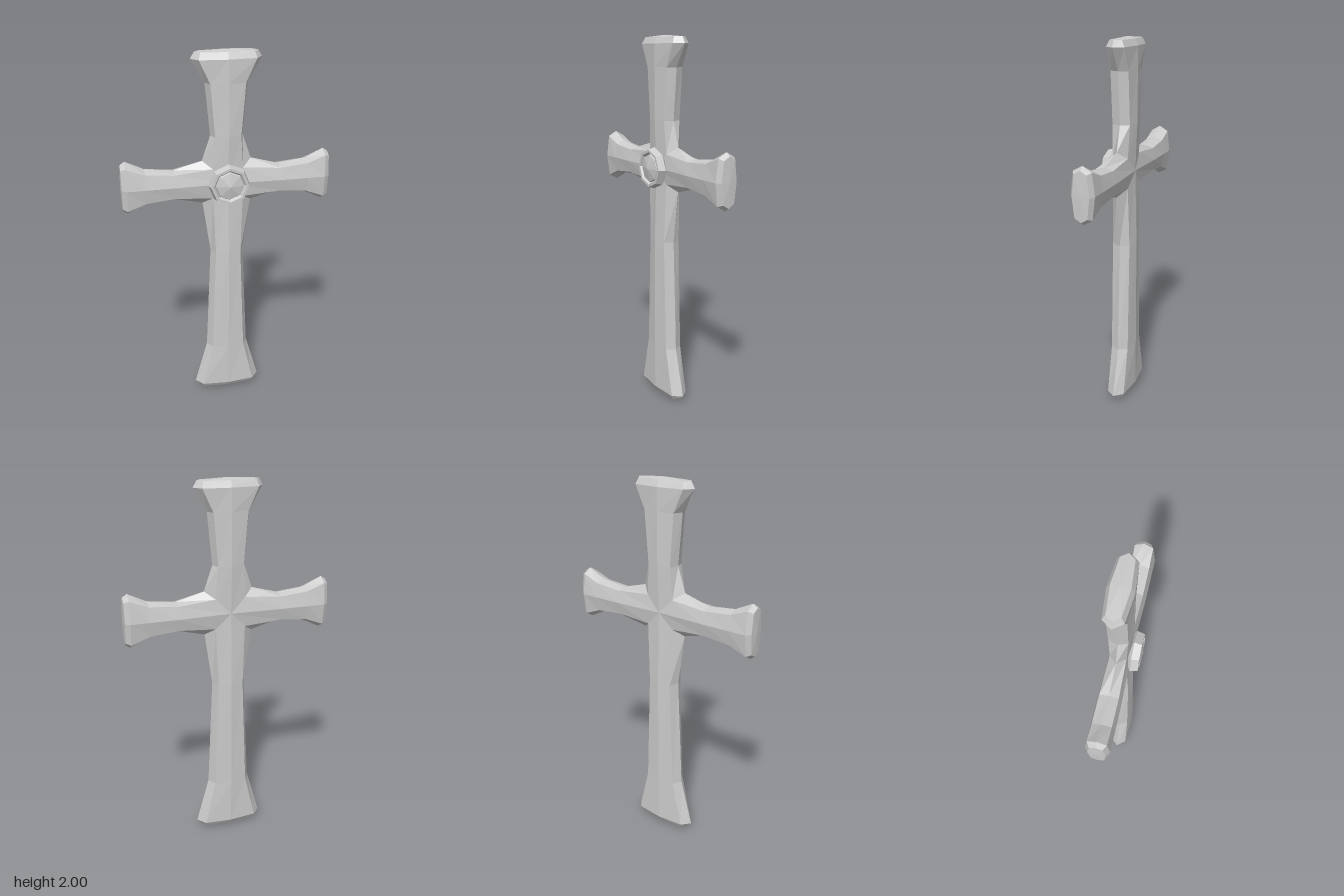
import * as THREE from 'three';

const material = new THREE.MeshStandardMaterial({ color: 0xcccccc, flatShading: true });

// Eight-point faceted section: side points, bevel edges and a raised centre ridge.
// Each row is [side v, side half-width, bevel v, bevel half-width, bevel depth, ridge v, ridge depth].
function section([vs, ws, vb, wb, zb, vr, zr]) {
  return [
    [ws, vs, 0], [wb, vb, -zb], [0, vr, -zr], [-wb, vb, -zb],
    [-ws, vs, 0], [-wb, vb, zb], [0, vr, zr], [wb, vb, zb],
  ];
}

// Section lying at one constant distance along the arm
const level = (v, w, wb, zb = 0.048, zr = 0.062) => [v, w, v, wb, zb, v, zr];

// Lofts the sections of one arm along +y and closes its outer end with a low fan
function armGeometry(rows, tip) {
  const rings = rows.map(section);
  const positions = [...rings.flat().flat(), 0, tip, 0];
  const index = [];
  const last = (rings.length - 1) * 8;
  for (let r = 0; r < rings.length - 1; r++) {
    for (let i = 0; i < 8; i++) {
      const a = r * 8 + i, b = r * 8 + (i + 1) % 8;
      index.push(a, b, b + 8, a, b + 8, a + 8);
    }
  }
  for (let i = 0; i < 8; i++) index.push(last + i, last + (i + 1) % 8, last + 8);
  const geometry = new THREE.BufferGeometry();
  geometry.setAttribute('position', new THREE.Float32BufferAttribute(positions, 3));
  geometry.setIndex(index);
  geometry.computeVertexNormals();
  return geometry;
}

export function createModel() {
  const group = new THREE.Group();
  group.name = 'cross';

  const add = (name, geometry, z, turn = 0) => {
    const mesh = new THREE.Mesh(geometry, material);
    mesh.name = name;
    mesh.position.set(0, 1.32, z);
    mesh.rotation.z = turn;
    group.add(mesh);
  };

  // All four arms share this mitred section, so they meet at the crossing
  const joint = [0.117, 0.13, 0.08, 0.08, 0.042, 0, 0.052];

  const upper = armGeometry([
    joint,
    level(0.25, 0.085, 0.068),
    level(0.52, 0.11, 0.09),
    level(0.637, 0.18, 0.145),
    level(0.67, 0.16, 0.135, 0.033, 0.045),
  ], 0.68);

  const lower = armGeometry([
    joint,
    level(0.4, 0.09, 0.068),
    level(1.015, 0.118, 0.09),
    level(1.275, 0.19, 0.15),
    level(1.303, 0.165, 0.14, 0.033, 0.045),
  ], 1.32);

  const side = armGeometry([
    [0.13, 0.117, 0.08, 0.08, 0.042, 0, 0.052],
    level(0.28, 0.076, 0.064),
    level(0.43, 0.095, 0.078),
    level(0.527, 0.142, 0.115),
    level(0.552, 0.125, 0.105, 0.033, 0.045),
  ], 0.557);

  add('upperArm', upper, -0.027);
  add('lowerArm', lower, -0.027, Math.PI);
  add('leftArm', side, -0.027, -Math.PI / 2);
  add('rightArm', side, -0.027, Math.PI / 2);

  // Eight-sided setting on the crossing, and the low gem inside it
  const lathe = (points) => new THREE.LatheGeometry(
    points.map(([r, h]) => new THREE.Vector2(r, h)), 8).rotateX(Math.PI / 2);

  add('setting', lathe([[0, 0.02], [0.09, 0.02], [0.11, 0.037], [0.1, 0.075], [0.086, 0.075], [0.076, 0.06]]), 0);
  add('gem', lathe([[0.077, 0.06], [0.072, 0.069], [0, 0.084]]), 0);

  return group;
}
